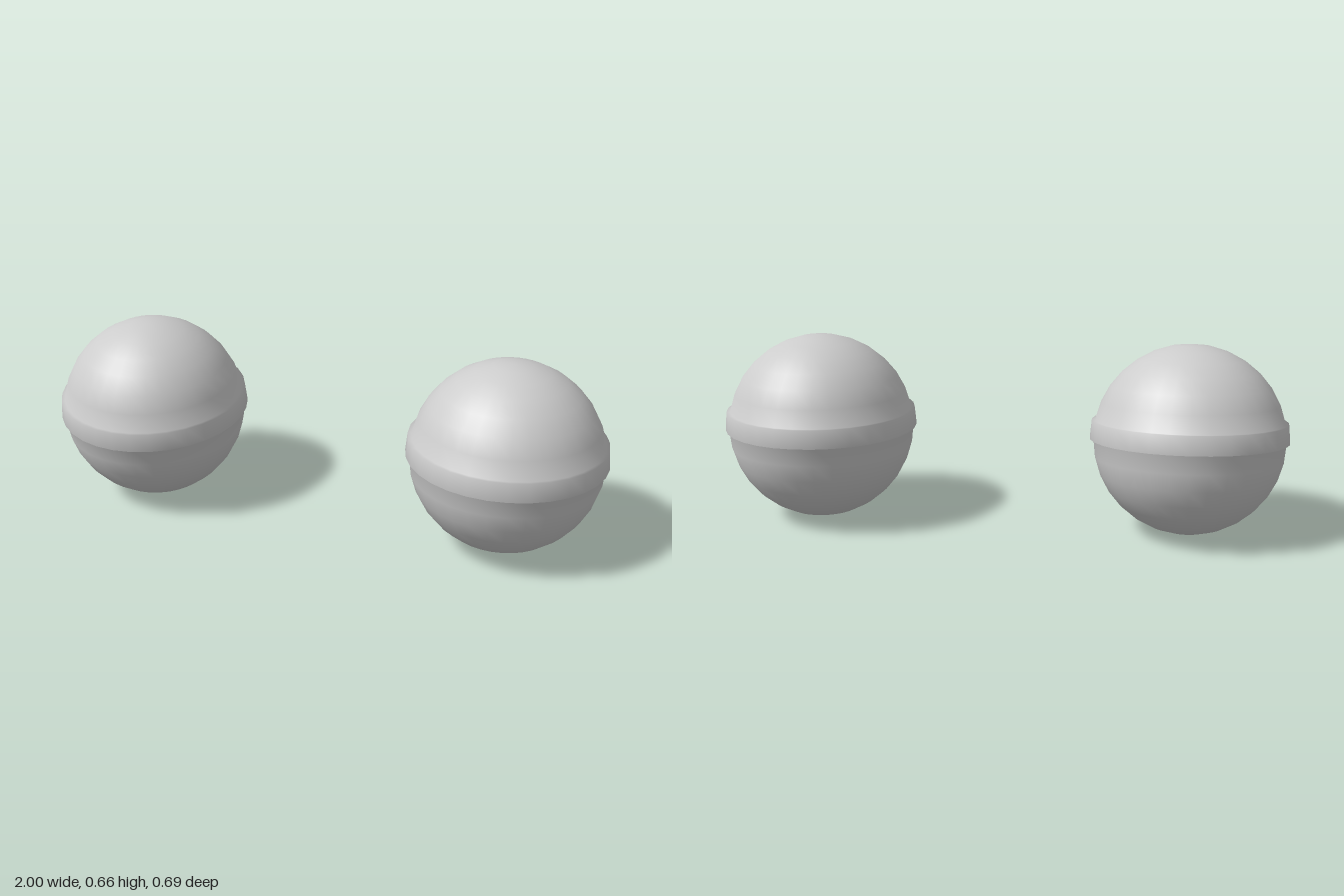
import * as THREE from 'three';
import { mergeVertices } from 'three/addons/utils/BufferGeometryUtils.js';

const R = 0.33, STEPS = 16, CENTER_Y = 0.3325;

// Ball with one row of faces above the equator pushed out into a raised band
function bandedBallGeometry() {
  const points = [];
  for (let i = 0; i <= STEPS; i++) {
    const a = -Math.PI / 2 + (i * Math.PI) / STEPS;
    const r = i === 0 || i === STEPS ? 0 : R * Math.cos(a);
    const ring = new THREE.Vector2(r, R * Math.sin(a));
    const raised = new THREE.Vector2(r + 0.012, ring.y);
    if (i === STEPS / 2) points.push(ring, raised);
    else if (i === STEPS / 2 + 1) points.push(raised, ring);
    else points.push(ring);
  }
  // Weld the seam and poles so the shading flows across ball and band
  const lathe = new THREE.LatheGeometry(points, 32);
  lathe.deleteAttribute('normal');
  lathe.deleteAttribute('uv');
  const geometry = mergeVertices(lathe, 1e-4);
  geometry.computeVertexNormals();
  return geometry;
}

export function createModel() {
  const model = new THREE.Group();
  model.name = 'bandedBallPair';

  const grey = new THREE.MeshStandardMaterial({ color: 0xcccccc });
  grey.name = 'light grey';
  const geometry = bandedBallGeometry();

  // Left ball sits level
  const leftBall = new THREE.Mesh(geometry, grey);
  leftBall.name = 'leftBall';
  leftBall.position.set(0.657, CENTER_Y, 0.004);

  // Right ball is tipped forward with a slight roll
  const rightBall = new THREE.Mesh(geometry, grey);
  rightBall.name = 'rightBall';
  rightBall.position.set(-0.657, CENTER_Y, -0.0045);
  rightBall.rotation.set(0.103, 0, -0.012);

  model.add(leftBall, rightBall);
  return model;
}
